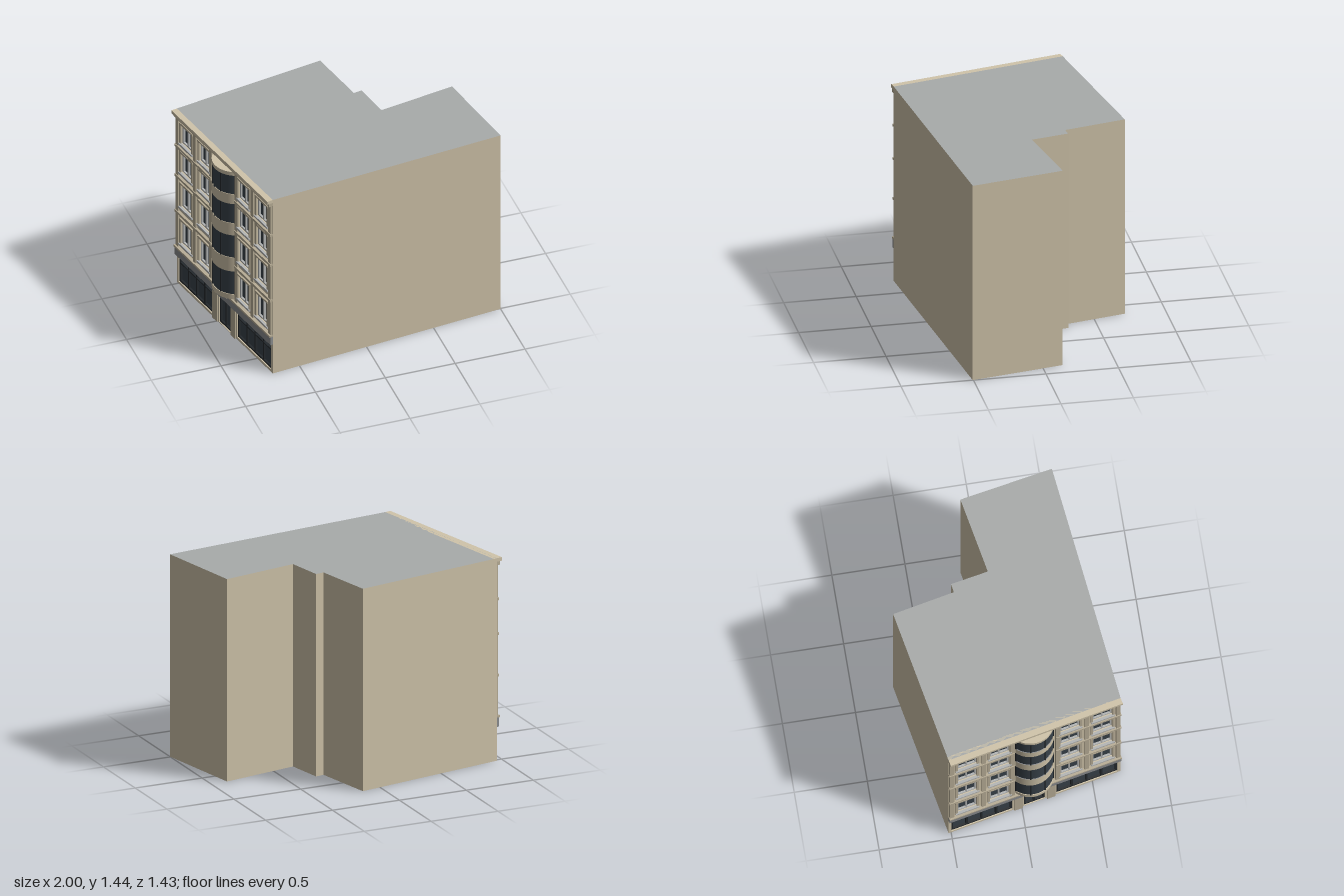
import * as THREE from 'three';

const mat = (name, color, side = THREE.FrontSide) => {
  const m = new THREE.MeshStandardMaterial({ color, side });
  m.name = name;
  return m;
};

export function createModel() {
  const wall = mat('beige wall', 0xd0c4aa, THREE.DoubleSide);
  const trim = mat('stone trim', 0xb9ae97);
  const roofGrey = mat('roof grey', 0xa8abaa, THREE.DoubleSide);
  const glass = mat('dark glass', 0x39424a, THREE.DoubleSide);
  const frame = mat('light window frame', 0xb4b6b6);
  const dark = mat('dark shop frame', 0x24292d);
  const sign = mat('grey fascia', 0x8b8d8f);

  const H = 1.44;
  const root = new THREE.Group();
  root.name = 'cornerBuilding';
  const add = (parent, name, geo, material, x = 0, y = 0, z = 0) => {
    const m = new THREE.Mesh(geo, material);
    m.name = name;
    m.position.set(x, y, z);
    parent.add(m);
    return m;
  };

  // Footprint (x, z), from the front end of the street facade round to its back end
  const plan = [[-0.70, 0.70], [1, 0.505], [0.88, -0.14], [0.34, -0.04], [0.29, -0.30],
    [0.23, -0.29], [0.14, -0.72], [-0.957, -0.518]];

  // Plain outer walls, open below
  for (let i = 0; i < plan.length - 1; i++) {
    const [ax, az] = plan[i], [bx, bz] = plan[i + 1];
    const w = add(root, 'plainWall', new THREE.PlaneGeometry(Math.hypot(bx - ax, bz - az), H),
      wall, (ax + bx) / 2, H / 2, (az + bz) / 2);
    w.rotation.y = Math.atan2(az - bz, bx - ax);
  }

  // Flat roof
  const roofShape = new THREE.Shape(plan.map(([x, z]) => new THREE.Vector2(x, -z)));
  add(root, 'roof', new THREE.ShapeGeometry(roofShape).rotateX(-Math.PI / 2), roofGrey, 0, H, 0);

  // Street facade: local x runs along it, local z points outwards
  const [fx, fz] = plan[0], [bx, bz] = plan[plan.length - 1];
  const L = Math.hypot(fx - bx, fz - bz);
  const facade = new THREE.Group();
  facade.name = 'streetFacade';
  facade.position.set((fx + bx) / 2, 0, (fz + bz) / 2);
  facade.rotation.y = Math.atan2(bz - fz, fx - bx);
  root.add(facade);
  const box = (name, material, x0, x1, y0, y1, z0, z1) =>
    add(facade, name, new THREE.BoxGeometry(x1 - x0, y1 - y0, z1 - z0), material,
      (x0 + x1) / 2, (y0 + y1) / 2, (z0 + z1) / 2);

  const floors = [[0.36, 0.55], [0.665, 0.85], [0.95, 1.11], [1.19, 1.345]];
  const columns = [-0.49, -0.255, 0.255, 0.49];
  const winW = 0.14, bayHalf = 0.14, bayY0 = 0.32, bayY1 = 1.375;
  const openings = [];
  for (const [y0, y1] of floors)
    for (const c of columns) openings.push([c - winW / 2, c + winW / 2, y0, y1]);
  const shops = [[-0.6, -0.16, 0.02, 0.22], [0.16, 0.6, 0.02, 0.22]];
  const door = [-0.075, 0.075, 0.005, 0.22];

  // Pierced wall
  const rect = (Type, [x0, x1, y0, y1]) => new Type([[x0, y0], [x1, y0], [x1, y1], [x0, y1]]
    .map(([x, y]) => new THREE.Vector2(x, y)));
  const face = rect(THREE.Shape, [-L / 2, L / 2, 0, H]);
  for (const o of [...openings, ...shops, door,
    [-bayHalf + 0.005, bayHalf - 0.005, bayY0 + 0.01, bayY1 - 0.01]])
    face.holes.push(rect(THREE.Path, o));
  add(facade, 'piercedWall', new THREE.ExtrudeGeometry(face, { depth: 0.025, bevelEnabled: false }),
    wall, 0, 0, -0.025);

  // Glass pane with an outer frame and evenly spaced uprights
  const glazing = (name, [x0, x1, y0, y1], material, t, bars) => {
    box(name + 'Glass', glass, x0, x1, y0, y1, -0.03, -0.022);
    box(name + 'FrameBottom', material, x0, x1, y0, y0 + t, -0.022, -0.008);
    box(name + 'FrameTop', material, x0, x1, y1 - t, y1, -0.022, -0.008);
    for (let i = 0; i <= bars; i++) {
      const x = x0 + t / 2 + (x1 - x0 - t) * i / bars;
      box(name + 'Upright', material, x - t / 2, x + t / 2, y0, y1, -0.022, -0.008);
    }
  };

  // Upper windows with sills, heads and jambs
  for (const o of openings) {
    const [x0, x1, y0, y1] = o;
    glazing('window', o, frame, 0.011, 2);
    box('windowSill', frame, x0 - 0.015, x1 + 0.015, y0 - 0.015, y0, 0, 0.018);
    box('windowHead', trim, x0 - 0.015, x1 + 0.015, y1, y1 + 0.015, 0, 0.012);
    for (const x of [x0 - 0.015, x1]) box('windowJamb', trim, x, x + 0.015, y0, y1, 0, 0.01);
  }

  // Shopfronts and door
  for (const s of shops) {
    glazing('shop', s, dark, 0.014, 4);
    box('shopTransom', dark, s[0], s[1], 0.172, 0.182, -0.022, -0.006);
  }
  glazing('door', door, dark, 0.014, 2);
  for (const x of [-0.118, 0.118]) box('doorPier', trim, x - 0.03, x + 0.03, 0, 0.24, 0, 0.01);

  // Fascia over the shops
  box('fascia', sign, -L / 2, L / 2, 0.24, 0.305, 0, 0.018);
  box('fasciaLedge', trim, -L / 2, L / 2, 0.305, 0.32, 0, 0.026);

  // Pilasters and string courses beside the bay
  for (const s of [-1, 1]) {
    for (const x of [0.165, 0.372, 0.602])
      box('pilaster', trim, s * x - 0.016, s * x + 0.016, 0.32, 1.39, 0, 0.014);
    const a = s * 0.15, b = s * L / 2;
    for (const y of [0.605, 0.9, 1.148])
      box('stringCourse', trim, Math.min(a, b), Math.max(a, b), y - 0.009, y + 0.009, 0, 0.02);
  }

  // Cornice
  box('corniceFrieze', trim, -L / 2, L / 2, 1.39, 1.415, 0, 0.028);
  box('corniceCrown', wall, -L / 2, L / 2, 1.415, H, 0, 0.043);

  // Curved bay: alternating wall bands and glass
  const depth = 0.075, R = (bayHalf ** 2 + depth ** 2) / (2 * depth), cz = depth - R;
  const arc = Math.asin(bayHalf / R);
  const curved = (name, material, r, y0, y1) => add(facade, name,
    new THREE.CylinderGeometry(r, r, y1 - y0, 24, 1, true, -arc, 2 * arc),
    material, 0, (y0 + y1) / 2, cz);
  let y = bayY0;
  for (const [y0, y1] of floors) {
    curved('bayBand', wall, R, y, y0);
    curved('bayGlass', glass, R - 0.005, y0, y1);
    for (const k of [-0.97, -0.33, 0.33, 0.97]) {
      const a = k * arc, r = R - 0.004;
      const m = add(facade, 'bayMullion', new THREE.BoxGeometry(0.009, y1 - y0, 0.01), dark,
        r * Math.sin(a), (y0 + y1) / 2, cz + r * Math.cos(a));
      m.rotation.y = a;
    }
    y = y1;
  }
  curved('bayBand', wall, R, y, bayY1);
  const segment = new THREE.Shape();
  segment.absarc(0, 0, R, Math.PI / 2 - arc, Math.PI / 2 + arc, false);
  for (const h of [bayY0, bayY1])
    add(facade, 'bayCap', new THREE.ShapeGeometry(segment, 24).rotateX(Math.PI / 2), wall, 0, h, cz);

  return root;
}
